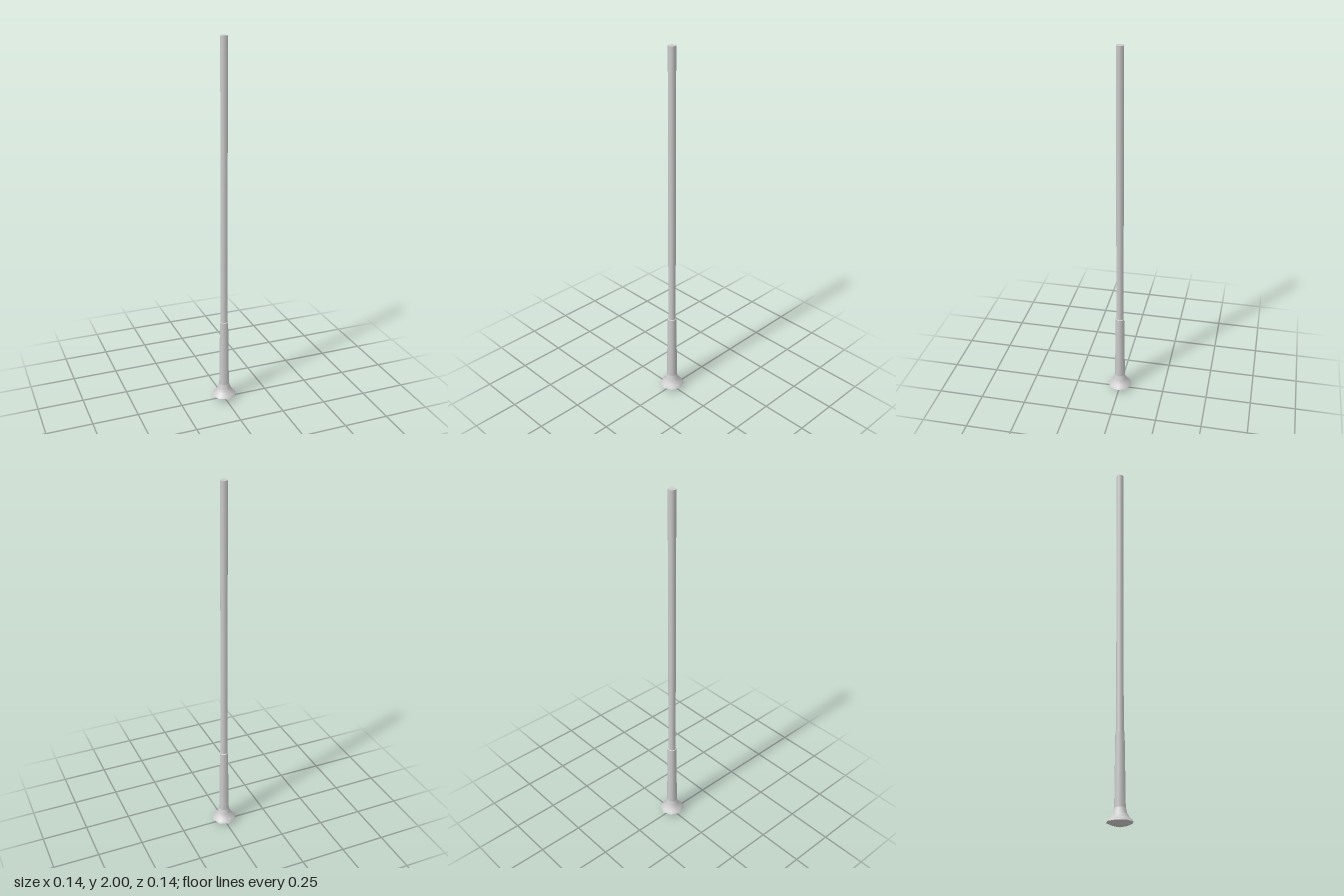
import * as THREE from 'three';

const SIDES = 8;
const material = new THREE.MeshStandardMaterial({ color: 0xcccccc });

// Turned octagonal part from [radius, height] pairs, listed bottom to top
function turned(name, profile) {
  const points = profile.map(([r, y]) => new THREE.Vector2(r, y));
  const mesh = new THREE.Mesh(new THREE.LatheGeometry(points, SIDES), material);
  mesh.name = name;
  return mesh;
}

export function createModel() {
  const group = new THREE.Group();
  group.name = 'pole';

  // Shallow cone under the foot
  group.add(turned('footUnderside', [[0, 0], [0.04, 0.01], [0.068, 0.023]]));

  // Narrow bevel around the rim
  group.add(turned('footRim', [[0.068, 0.023], [0.061, 0.032]]));

  // Flare sweeping up into the sleeve
  group.add(turned('footFlare', [[0.061, 0.032], [0.046, 0.048], [0.036, 0.066], [0.029, 0.092]]));

  // Tapered sleeve around the lower shaft, closed by a small shoulder
  group.add(turned('sleeve', [[0.029, 0.092], [0.027, 0.25], [0.024, 0.47]]));
  group.add(turned('sleeveShoulder', [[0.024, 0.47], [0.02, 0.472]]));

  // Straight shaft with a flat top
  const shaft = new THREE.Mesh(new THREE.CylinderGeometry(0.02, 0.02, 1.53, SIDES), material);
  shaft.name = 'shaft';
  shaft.position.y = 2 - 1.53 / 2;
  group.add(shaft);

  return group;
}
